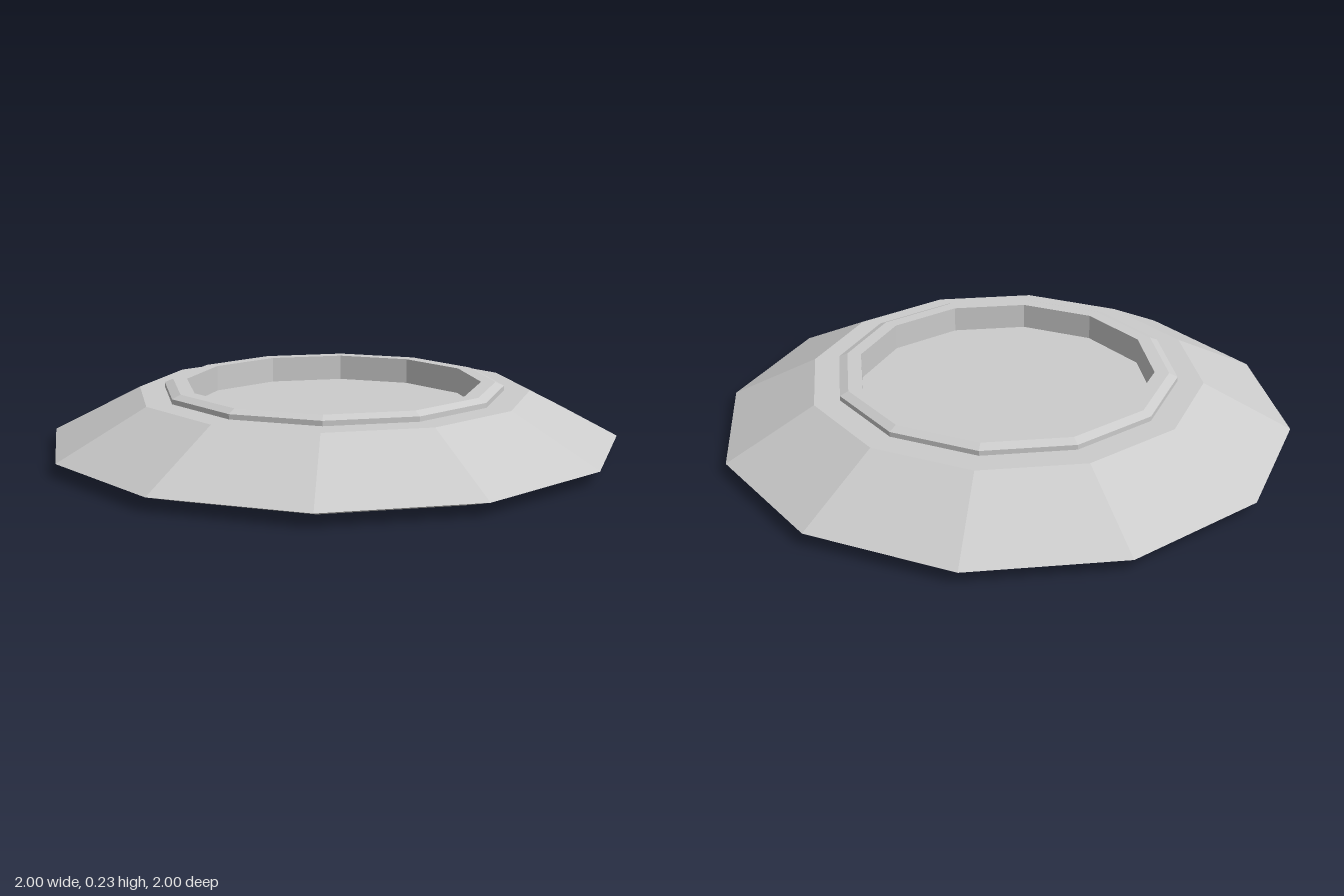
import * as THREE from 'three';

const SIDES = 12;

export function createModel() {
  const group = new THREE.Group();
  const material = new THREE.MeshStandardMaterial({ color: 0xcccccc, flatShading: true });

  // Twelve-sided faceted solid from a [radius, height] profile
  const addLathe = (name, profile) => {
    const points = profile.map(([r, y]) => new THREE.Vector2(r, y));
    const mesh = new THREE.Mesh(new THREE.LatheGeometry(points, SIDES), material);
    mesh.name = name;
    group.add(mesh);
  };

  // Flared base: flat underside, sharp outer edge, sloped skirt and top ledge
  addLathe('base', [[0, 0], [0.86, 0], [1, 0.045], [0.69, 0.203], [0.6, 0.203]]);

  // Raised rim: short wall, bevel, flat lip and vertical inner wall
  addLathe('rim', [[0.6, 0.203], [0.6, 0.22], [0.57, 0.233], [0.52, 0.233], [0.52, 0.14]]);

  // Recessed floor inside the rim
  addLathe('floor', [[0.52, 0.14], [0, 0.14]]);

  return group;
}
